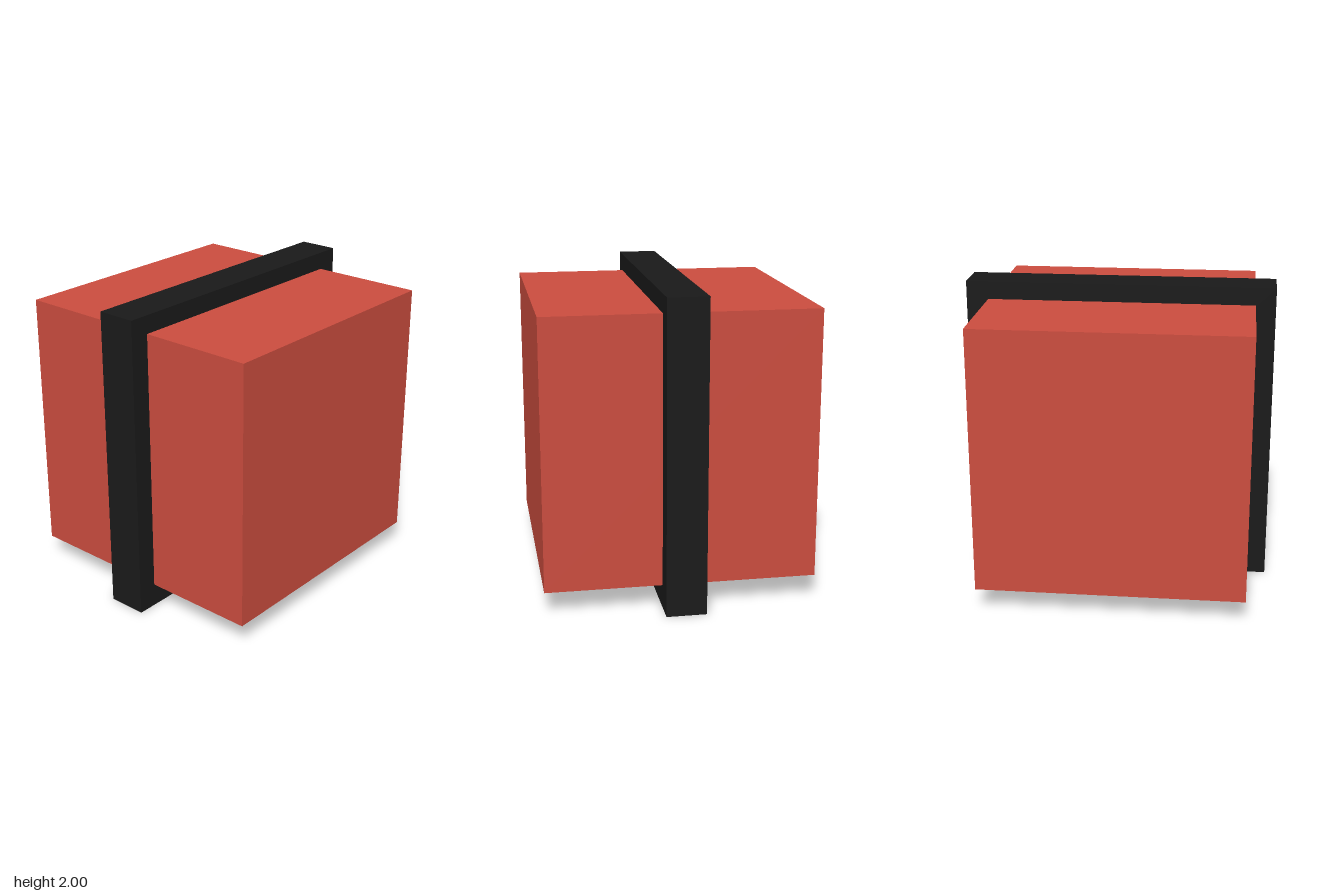
import * as THREE from 'three';

// Axis-aligned box from size and centre
function addBox(group, name, color, size, centre) {
  const mesh = new THREE.Mesh(
    new THREE.BoxGeometry(...size),
    new THREE.MeshStandardMaterial({ color })
  );
  mesh.name = name;
  mesh.position.set(...centre);
  group.add(mesh);
}

export function createModel() {
  const group = new THREE.Group();
  group.name = 'bandedBox';

  // Red cube body
  addBox(group, 'body', 0xcc4d3f, [1.73, 1.73, 1.73], [0, 1.018, 0.007]);

  // Dark slab passing through the body, standing proud as a band all round
  addBox(group, 'band', 0x1a1a1a, [0.256, 2, 2], [-0.006, 1, 0]);

  return group;
}
